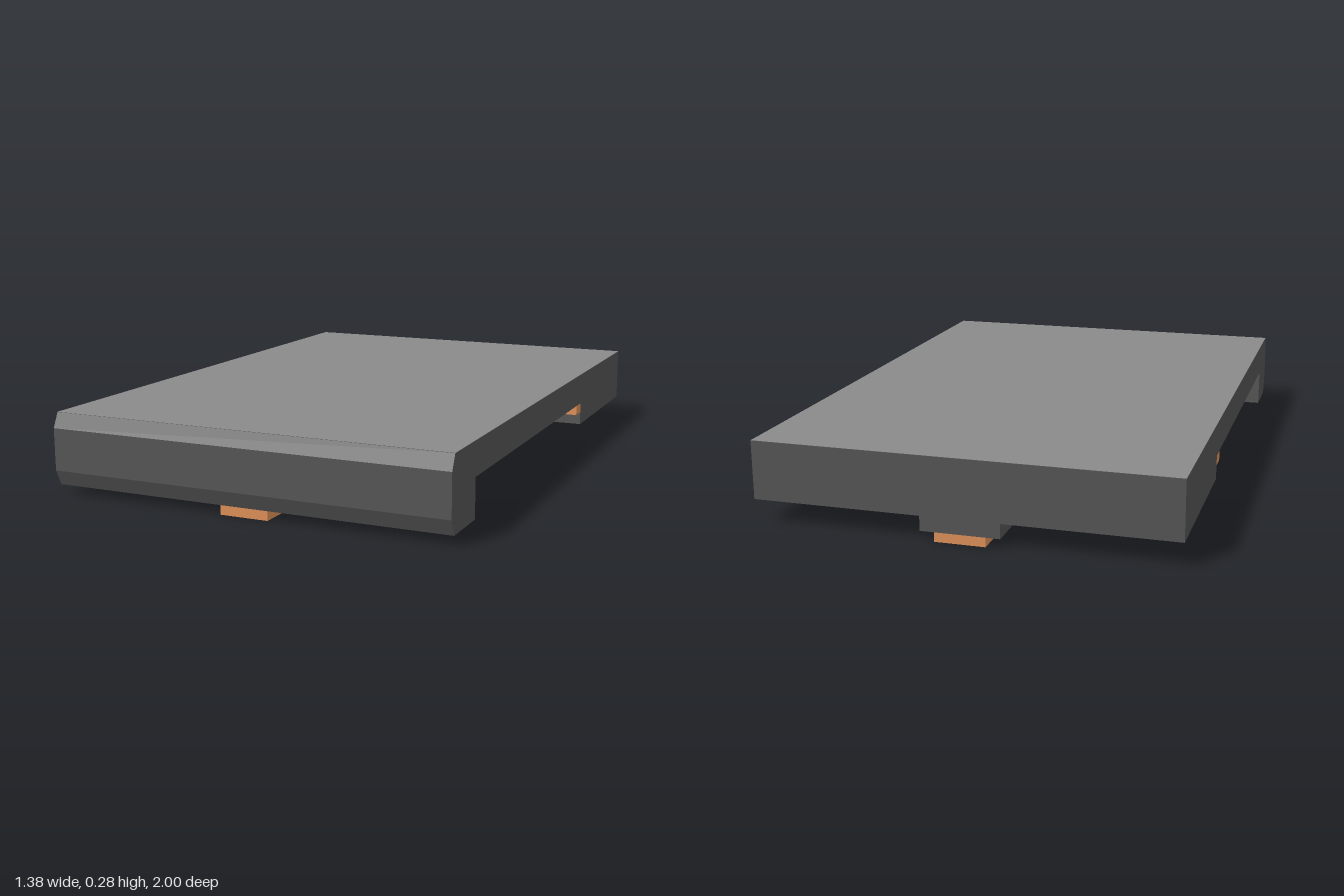
import * as THREE from 'three';

export function createModel() {
  const model = new THREE.Group();
  const dark = new THREE.MeshStandardMaterial({ color: 0x545454, flatShading: true });
  const light = new THREE.MeshStandardMaterial({ color: 0x8a8a8a, flatShading: true });
  const copper = new THREE.MeshStandardMaterial({ color: 0xdb8e57, flatShading: true });

  // Box given by its limits on each axis
  function box(name, material, [x0, x1], [y0, y1], [z0, z1]) {
    const mesh = new THREE.Mesh(new THREE.BoxGeometry(x1 - x0, y1 - y0, z1 - z0), material);
    mesh.position.set((x0 + x1) / 2, (y0 + y1) / 2, (z0 + z1) / 2);
    mesh.name = name;
    model.add(mesh);
  }

  // Slab with a bevelled front lip and an undercut, as a side profile (z, y) run across x
  const width = 1.38;
  const profile = new THREE.Shape([
    [-1, 0.08], [-0.4, 0.08], [-0.4, 0.162], [0.8, 0.162], [0.8, 0.031],
    [0.977, 0.031], [1, 0.083], [1, 0.225], [0.977, 0.274], [-1, 0.274],
  ].map(([z, y]) => new THREE.Vector2(z, y)));
  const slab = new THREE.ExtrudeGeometry(profile, { depth: width, bevelEnabled: false });
  slab.translate(0, 0, -width / 2).rotateY(-Math.PI / 2);
  const body = new THREE.Mesh(slab, dark);
  body.name = 'body';
  model.add(body);

  // Lighter facing on top of the slab
  const facing = new THREE.PlaneGeometry(width, 1.977).rotateX(-Math.PI / 2);
  const topPanel = new THREE.Mesh(facing, light);
  topPanel.position.set(0, 0.275, -0.0115);
  topPanel.name = 'topPanel';
  model.add(topPanel);

  // Central spine under the slab
  box('spine', dark, [-0.32, 0.32], [0.08, 0.162], [-0.4, 0.8]);
  box('spineRail', dark, [-0.13, 0.13], [0.031, 0.08], [-1, 0.8]);
  box('centreStrip', copper, [-0.083, 0.083], [0, 0.031], [-1, 0.977]);

  // L-shaped strips in the side recesses
  for (const [side, s] of [['left', 1], ['right', -1]]) {
    const span = (a, b) => (s > 0 ? [a, b] : [-b, -a]);
    box(side + 'Strip', copper, span(0.32, 0.505), [0.127, 0.162], [-0.4, 0.8]);
    box(side + 'CrossStrip', copper, span(0.505, 0.69), [0.127, 0.162], [-0.4, -0.34]);
  }
  return model;
}
